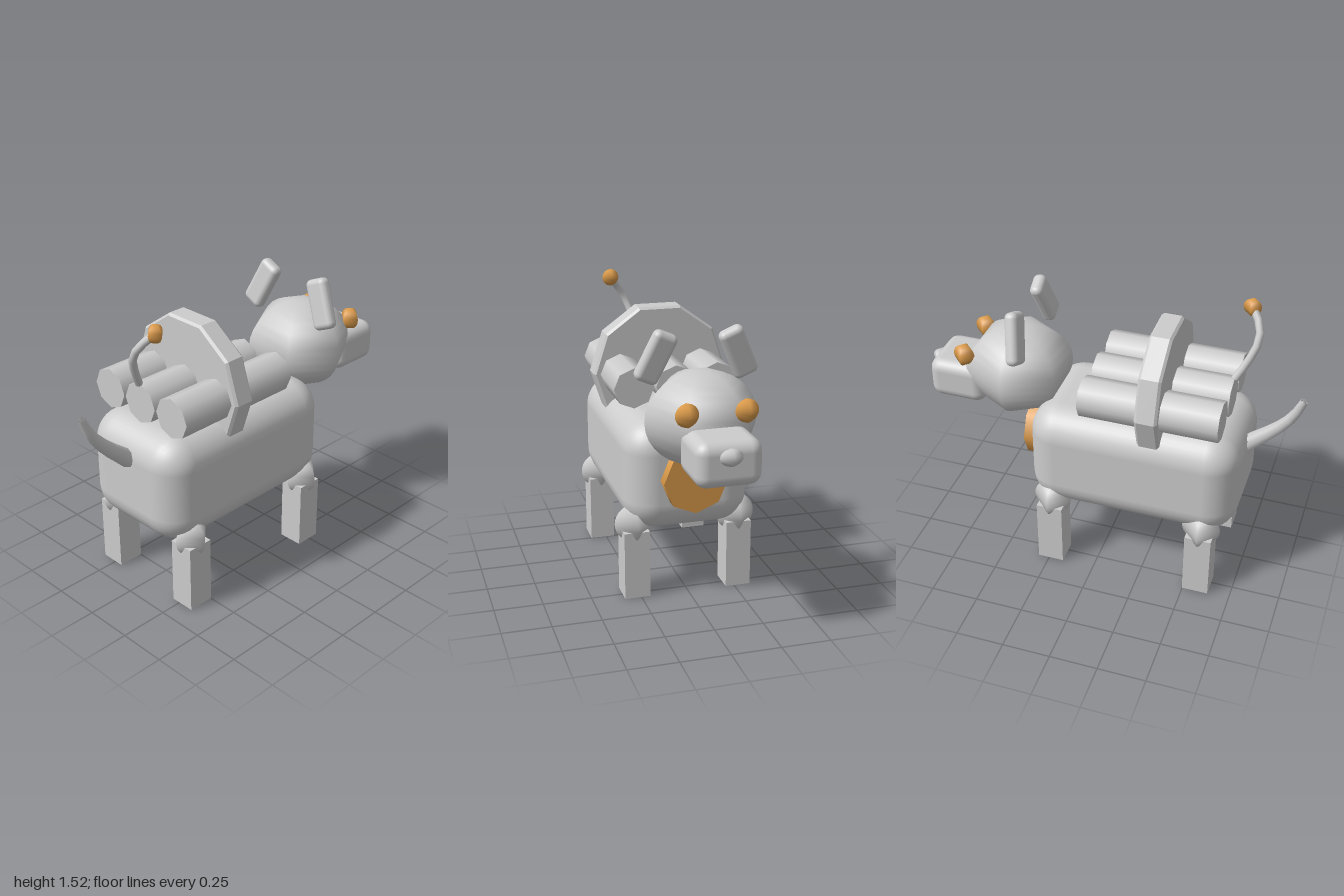
import * as THREE from 'three';
import { RoundedBoxGeometry } from 'three/addons/geometries/RoundedBoxGeometry.js';

export function createModel() {
  const model = new THREE.Group();
  model.name = 'robotDog';
  const grey = new THREE.MeshStandardMaterial({ color: 0xcccccc });
  grey.name = 'light grey';
  const amber = new THREE.MeshStandardMaterial({ color: 0xdb9b4b });
  amber.name = 'amber';

  function add(name, geometry, material, x = 0, y = 0, z = 0) {
    const mesh = new THREE.Mesh(geometry, material);
    mesh.name = name;
    mesh.position.set(x, y, z);
    model.add(mesh);
    return mesh;
  }

  // Tube whose radius runs evenly from r0 to r1, with closed ends
  function taperedTube(points, r0, r1, steps = 6, sides = 8) {
    const curve = new THREE.CatmullRomCurve3(points.map(p => new THREE.Vector3(...p)));
    const geo = new THREE.TubeGeometry(curve, steps, 1, sides, false);
    const pos = geo.attributes.position;
    const v = new THREE.Vector3();
    for (let i = 0; i <= steps; i++) {
      const c = curve.getPointAt(i / steps);
      const r = r0 + (r1 - r0) * i / steps;
      for (let j = 0; j <= sides; j++) {
        const k = i * (sides + 1) + j;
        v.fromBufferAttribute(pos, k).sub(c).multiplyScalar(r).add(c);
        pos.setXYZ(k, v.x, v.y, v.z);
      }
    }
    // end caps as fans inside the rings
    const index = Array.from(geo.index.array);
    const last = steps * (sides + 1);
    for (let j = 1; j < sides - 1; j++) {
      index.push(0, j, j + 1, 0, j + 1, j);
      index.push(last, last + j, last + j + 1, last, last + j + 1, last + j);
    }
    geo.setIndex(index);
    return geo;
  }

  // Body
  add('body', new RoundedBoxGeometry(0.65, 0.578, 1.1, 4, 0.16), grey, 0, 0.645, 0.18);

  // Legs with ball joints
  for (const x of [-0.27, 0.27]) {
    for (const z of [0.567, -0.24]) {
      add('leg', new THREE.BoxGeometry(0.132, 0.358, 0.138), grey, x, 0.179, z);
      add('legJoint', new THREE.SphereGeometry(0.1, 4, 16), grey, x, 0.388, z);
    }
  }

  // Head, snout and nose
  const head = add('head', new THREE.SphereGeometry(1, 6, 16), grey, 0, 1.002, -0.503);
  head.scale.set(0.28, 0.238, 0.28);
  add('snout', new RoundedBoxGeometry(0.32, 0.222, 0.305, 3, 0.06), grey, 0, 0.915, -0.806);
  const nose = add('nose', new THREE.SphereGeometry(1, 4, 12), grey, 0, 0.957, -0.958);
  nose.scale.set(0.056, 0.042, 0.042);

  // Eyes and ears
  for (const s of [-1, 1]) {
    add('eye', new THREE.SphereGeometry(0.057, 4, 16), amber, s * 0.144, 1.1, -0.748);
    const ear = add('ear', new RoundedBoxGeometry(0.125, 0.265, 0.07, 3, 0.03), grey,
      s * 0.205, 1.297, -0.434);
    ear.rotation.set(-0.16, 0, s * 0.42);
  }

  // Chest medallion
  const medallion = new THREE.CylinderGeometry(0.165, 0.165, 0.066, 8);
  medallion.rotateX(Math.PI / 2);
  add('medallion', medallion, amber, 0, 0.65, -0.402);

  // Three canisters on the back
  for (const x of [-0.22, 0, 0.22]) {
    const canister = new THREE.CylinderGeometry(0.105, 0.105, 0.71, 8);
    canister.rotateX(Math.PI / 2);
    add('canister', canister, grey, x, 1.046, 0.275);
  }

  // Ten-sided plate holding the canisters, with a small bevel
  const profile = [[0, -0.058], [0.348, -0.058], [0.36, -0.045], [0.36, 0.045], [0.348, 0.058], [0, 0.058]]
    .map(p => new THREE.Vector2(...p));
  const plate = new THREE.LatheGeometry(profile, 10, Math.PI / 2).toNonIndexed();
  plate.rotateX(Math.PI / 2);
  plate.computeVertexNormals();
  add('backPlate', plate, grey, 0, 1.046, 0.28);

  // Tail
  add('tail', taperedTube([[0, 0.775, 0.715], [0, 0.908, 0.865], [0, 0.995, 0.935], [0, 1.095, 0.98]],
    0.046, 0.02), grey);

  // Antenna with ball tip
  add('antenna', taperedTube([[0, 1.155, 0.632], [0.03, 1.23, 0.675], [0.065, 1.33, 0.717],
    [0.105, 1.4, 0.715], [0.163, 1.472, 0.662]], 0.02, 0.02), grey);
  add('antennaTip', new THREE.SphereGeometry(0.045, 4, 16), amber, 0.163, 1.473, 0.66);

  return model;
}
